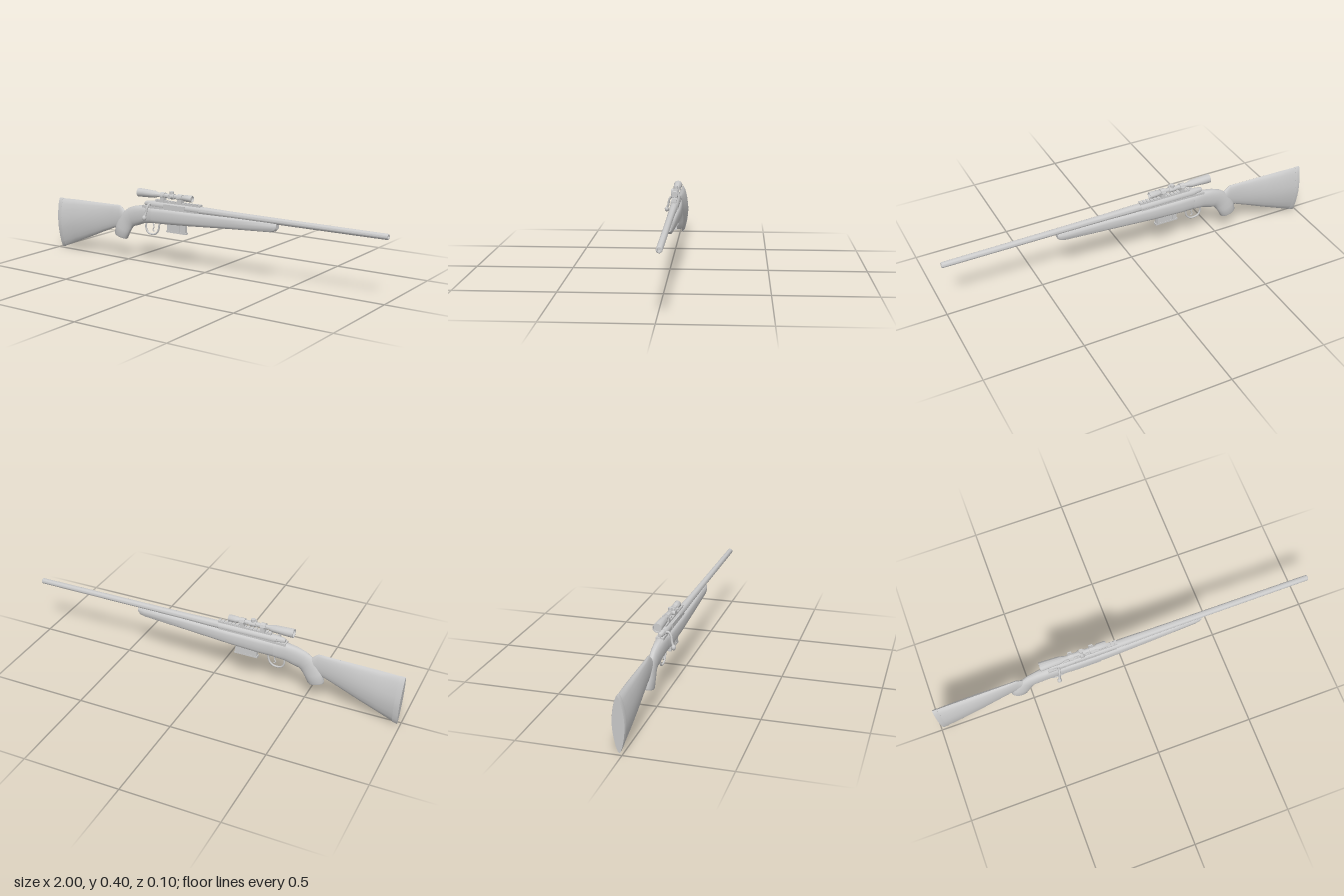
import * as THREE from 'three';
import { toCreasedNormals } from 'three/addons/utils/BufferGeometryUtils.js';

const material = new THREE.MeshStandardMaterial({ color: 0xcccccc, side: THREE.DoubleSide });

// Skin over superellipse sections [x, y, halfHeight, halfWidth, exponent, tilt in degrees], listed towards +x
function loft(sections, sides = 20) {
  const pos = [], index = [];
  for (const [x, y, h, w, n, tilt = 0] of sections) {
    const a = THREE.MathUtils.degToRad(tilt);
    for (let j = 0; j < sides; j++) {
      const t = (j / sides) * Math.PI * 2, c = Math.cos(t), s = Math.sin(t);
      const u = h * Math.sign(c) * Math.abs(c) ** (2 / n);
      const v = w * Math.sign(s) * Math.abs(s) ** (2 / n);
      pos.push(x - Math.sin(a) * u, y + Math.cos(a) * u, v);
    }
  }
  for (let i = 0; i < sections.length - 1; i++) {
    for (let j = 0; j < sides; j++) {
      const k = (j + 1) % sides, a = i * sides + j, b = i * sides + k;
      index.push(a, b, a + sides, b, b + sides, a + sides);
    }
  }
  const last = sections.length - 1, centre = pos.length / 3;
  for (const s of [sections[0], sections[last]]) pos.push(s[0], s[1], 0);
  for (let j = 0; j < sides; j++) {
    const k = (j + 1) % sides;
    index.push(centre, k, j, centre + 1, last * sides + j, last * sides + k);
  }
  const g = new THREE.BufferGeometry();
  g.setAttribute('position', new THREE.Float32BufferAttribute(pos, 3));
  g.setIndex(index);
  return toCreasedNormals(g, 0.7);
}

// Turned part along x from [x, radius] points
function turned(points, y, sides = 16) {
  const g = new THREE.LatheGeometry(points.map(([x, r]) => new THREE.Vector2(r, x)), sides);
  g.rotateZ(-Math.PI / 2).translate(0, y, 0);
  return toCreasedNormals(g, 0.6);
}

function box(x0, x1, y0, y1, z0, z1) {
  return new THREE.BoxGeometry(x1 - x0, y1 - y0, z1 - z0)
    .translate((x0 + x1) / 2, (y0 + y1) / 2, (z0 + z1) / 2);
}

function tube(points, radius) {
  const curve = new THREE.CatmullRomCurve3(points.map((p) => new THREE.Vector3(...p)));
  return new THREE.TubeGeometry(curve, 28, radius, 8);
}

export function createModel() {
  const model = new THREE.Group();
  const add = (name, geometry) => {
    const mesh = new THREE.Mesh(geometry, material);
    mesh.name = name;
    model.add(mesh);
    return mesh;
  };

  // Stock: butt with end pad, pistol grip, fore-end
  add('buttPad', loft([
    [-0.992, 0.145, 0.14, 0.029, 1.6, 3],
    [-0.985, 0.146, 0.14, 0.032, 1.6, 3],
    [-0.966, 0.149, 0.137, 0.032, 1.6, 3],
  ]));
  add('butt', loft([
    [-0.966, 0.149, 0.135, 0.0315, 1.6, 3],
    [-0.88, 0.167, 0.12, 0.031, 1.7],
    [-0.78, 0.188, 0.1, 0.027, 1.8],
    [-0.68, 0.21, 0.079, 0.02, 1.9],
    [-0.61, 0.225, 0.065, 0.015, 2],
    [-0.565, 0.232, 0.059, 0.014, 2],
    [-0.545, 0.228, 0.046, 0.014, 2],
    [-0.52, 0.22, 0.035, 0.014, 2],
  ]));
  add('grip', loft([
    [-0.562, 0.12, 0.039, 0.02, 2, 75],
    [-0.56, 0.128, 0.044, 0.024, 2, 74],
    [-0.546, 0.168, 0.049, 0.024, 2, 68],
    [-0.53, 0.195, 0.05, 0.022, 2, 57],
    [-0.51, 0.22, 0.05, 0.021, 2, 40],
    [-0.485, 0.237, 0.051, 0.022, 2.1, 22],
    [-0.45, 0.248, 0.053, 0.024, 2.3, 9],
    [-0.4, 0.261, 0.049, 0.027, 2.6],
    [-0.34, 0.264, 0.043, 0.029, 3],
  ]));
  add('foreEnd', loft([
    [-0.36, 0.263, 0.043, 0.028, 3],
    [-0.26, 0.266, 0.041, 0.032, 3.5],
    [-0.1, 0.271, 0.037, 0.032, 3.5],
    [0.15, 0.281, 0.03, 0.027, 3.5],
    [0.38, 0.288, 0.024, 0.02, 3.5],
    [0.405, 0.291, 0.021, 0.018, 3.2],
    [0.416, 0.295, 0.014, 0.015, 3],
  ]));

  // Barrel with open bore, receiver and bolt
  add('barrel', turned([
    [-0.06, 0.02], [0.02, 0.02], [0.14, 0.0175], [0.4, 0.016], [0.997, 0.0145],
    [1, 0.0125], [1, 0.008], [0.96, 0.008], [0.96, 0],
  ], 0.321));
  add('receiver', turned([[-0.35, 0], [-0.35, 0.019], [-0.34, 0.021], [-0.04, 0.021], [-0.04, 0]], 0.32));
  add('receiverBase', box(-0.4, -0.04, 0.28, 0.313, -0.02, 0.02));
  add('ejectionPort', box(-0.26, -0.125, 0.309, 0.333, 0, 0.0225));
  add('boltShroud', turned([[-0.395, 0], [-0.393, 0.009], [-0.38, 0.014], [-0.345, 0.017], [-0.345, 0]], 0.322));
  add('boltHandle', tube([
    [-0.345, 0.322, 0.012], [-0.347, 0.324, 0.03], [-0.35, 0.307, 0.043],
    [-0.354, 0.28, 0.048], [-0.358, 0.262, 0.055],
  ], 0.006));
  const knob = add('boltKnob', new THREE.SphereGeometry(0.0115, 12, 8));
  knob.position.set(-0.359, 0.254, 0.057);
  knob.scale.y = 1.2;

  // Trigger, guard and ribbed magazine
  add('triggerGuard', tube([
    [-0.388, 0.225, 0], [-0.39, 0.185, 0], [-0.375, 0.163, 0],
    [-0.335, 0.16, 0], [-0.313, 0.178, 0], [-0.3, 0.23, 0],
  ], 0.005));
  add('trigger', tube([[-0.345, 0.225, 0], [-0.338, 0.2, 0], [-0.345, 0.183, 0], [-0.335, 0.176, 0]], 0.0035));
  add('magazine', box(-0.245, -0.13, 0.19, 0.25, -0.01, 0.01));
  add('magazineFloor', box(-0.25, -0.125, 0.184, 0.193, -0.0115, 0.0115));
  for (let i = 0; i < 4; i++) {
    const x = -0.235 + i * 0.03;
    add('magazineRib', box(x, x + 0.012, 0.19, 0.235, -0.0115, 0.0115));
  }

  // Sight rail with cross slots
  add('rail', box(-0.32, -0.035, 0.337, 0.345, -0.01, 0.01));
  for (let i = 0; i < 15; i++) {
    const x = -0.32 + i * 0.0195;
    add('railTooth', box(x, x + 0.012, 0.345, 0.35, -0.012, 0.012));
  }

  // Scope: recessed lenses at both ends, rings and turrets
  const sy = 0.375;
  add('scope', turned([
    [-0.425, 0], [-0.425, 0.019], [-0.435, 0.019], [-0.435, 0.023], [-0.4, 0.022],
    [-0.33, 0.019], [-0.305, 0.0115], [-0.15, 0.0115], [-0.135, 0.017],
    [-0.095, 0.018], [-0.09, 0.016], [-0.09, 0.0135], [-0.1, 0.0135], [-0.1, 0],
  ], sy));
  for (const x of [-0.275, -0.165]) {
    add('scopeRing', turned([
      [x - 0.013, 0], [x - 0.013, 0.017], [x + 0.013, 0.017], [x + 0.013, 0],
    ], sy, 8));
    add('ringFoot', box(x - 0.012, x + 0.012, 0.345, 0.365, -0.013, 0.013));
    for (const side of [-1, 1]) {
      const z = side * 0.017;
      add('ringLug', box(x - 0.01, x + 0.01, sy - 0.004, sy + 0.004, z - 0.006, z + 0.006));
    }
  }
  add('turretCollar', turned([[-0.238, 0], [-0.238, 0.015], [-0.202, 0.015], [-0.202, 0]], sy));
  add('topTurret', new THREE.CylinderGeometry(0.011, 0.012, 0.026, 12)).position.set(-0.22, sy + 0.013, 0);
  const sideTurret = add('sideTurret', new THREE.CylinderGeometry(0.011, 0.012, 0.026, 12));
  sideTurret.position.set(-0.22, sy, 0.013);
  sideTurret.rotation.x = Math.PI / 2;

  // The bolt handle sticks out to one side, so the body sits slightly back
  model.position.z = -0.017;
  const root = new THREE.Group();
  root.name = 'rifle';
  root.add(model);
  return root;
}
